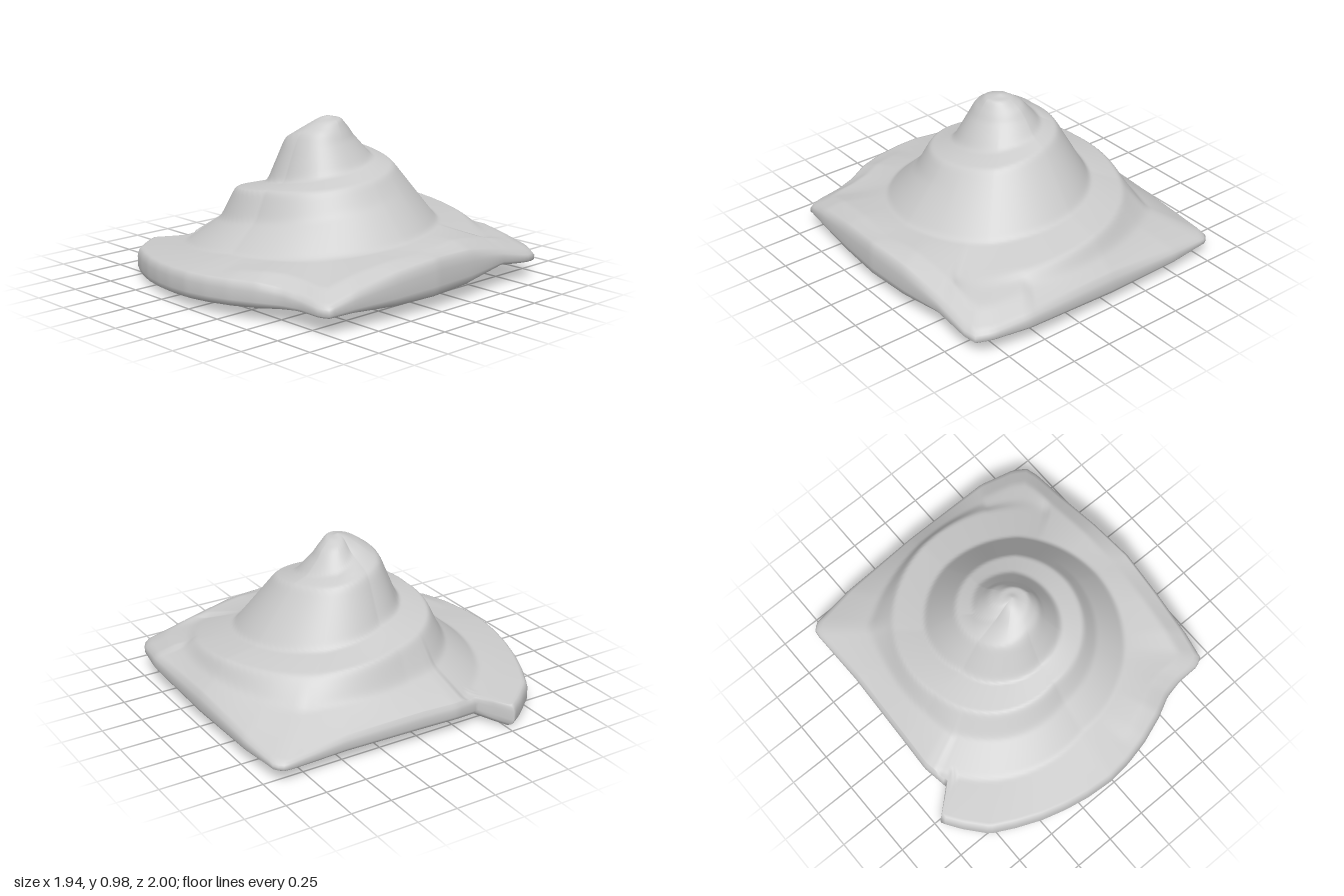
import * as THREE from 'three';

// Angles in degrees: 0 = -x, 90 = front, 180 = +x, 270 = back. The spiral climbs as the angle grows.
// Outline of the slab: x, z, top height, bottom height
const OUTLINE = [
  [-0.835, 0, 0.18, 0.08], [-0.845, 0.22, 0.175, 0.08], [-0.815, 0.39, 0.165, 0.06],
  [-0.975, 0.53, 0.145, 0.012], [-0.9, 0.64, 0.15, 0.005], [-0.79, 0.77, 0.16, 0.005],
  [-0.65, 0.845, 0.17, 0.015], [-0.5, 0.91, 0.18, 0.025], [-0.35, 0.955, 0.19, 0.035],
  [-0.2, 0.985, 0.2, 0.045], [-0.03, 1, 0.21, 0.055], [0.12, 0.985, 0.215, 0.062],
  [0.28, 0.95, 0.22, 0.07], [0.45, 0.89, 0.22, 0.08], [0.58, 0.825, 0.2, 0.09],
  [0.7, 0.8, 0.18, 0.1], [0.85, 0.795, 0.16, 0.1], [0.9, 0.77, 0.16, 0.1],
  [0.925, 0.6, 0.21, 0.1], [0.95, 0.3, 0.265, 0.08], [0.97, 0, 0.3, 0.08],
  [0.955, -0.3, 0.28, 0.09], [0.935, -0.6, 0.22, 0.14], [0.93, -0.83, 0.165, 0.11],
  [0.91, -0.91, 0.16, 0.1], [0.83, -0.955, 0.17, 0.11], [0.6, -1, 0.2, 0.11],
  [0, -0.995, 0.2, 0.08], [-0.5, -0.98, 0.16, 0.08], [-0.78, -0.945, 0.125, 0.08],
  [-0.82, -0.9, 0.125, 0.08], [-0.815, -0.5, 0.165, 0.08],
];

// Outer edge of the spiral ledge: angle, radius, height
const CREST = [
  [215, 0.95, 0.28], [243, 0.9, 0.34], [270, 0.83, 0.39], [315, 0.7, 0.42], [360, 0.57, 0.485],
  [405, 0.5, 0.54], [450, 0.425, 0.59], [495, 0.44, 0.62], [540, 0.45, 0.66], [585, 0.44, 0.7],
  [630, 0.37, 0.755], [675, 0.31, 0.78], [720, 0.235, 0.81], [765, 0.2, 0.85], [810, 0.17, 0.89],
  [855, 0.17, 0.9], [900, 0.18, 0.89], [945, 0.17, 0.9], [990, 0.16, 0.92], [1035, 0.11, 0.94],
  [1080, 0.06, 0.95],
];

// Inner fold where the ledge meets the next wall: angle, radius, height
const CREASE = [
  [20, 0.85, 0.17], [45, 0.8, 0.2], [90, 0.68, 0.265], [135, 0.7, 0.29], [180, 0.71, 0.34],
  [225, 0.7, 0.37], [270, 0.61, 0.43], [315, 0.5, 0.47], [360, 0.36, 0.545], [405, 0.31, 0.58],
  [450, 0.28, 0.62], [495, 0.3, 0.66], [540, 0.3, 0.7], [585, 0.31, 0.74], [630, 0.27, 0.79],
  [675, 0.2, 0.82], [720, 0.1, 0.9], [765, 0.1, 0.93], [810, 0.1, 0.945], [855, 0.1, 0.96],
  [900, 0.12, 0.965], [945, 0.1, 0.97], [990, 0.08, 0.97], [1035, 0.06, 0.97], [1080, 0.045, 0.97],
];

function lookup(table, a) {
  for (let i = 0; i < table.length - 1; i++) {
    const [a0, r0, h0] = table[i], [a1, r1, h1] = table[i + 1];
    if (a >= a0 && a <= a1) {
      const t = (a - a0) / (a1 - a0);
      return [r0 + (r1 - r0) * t, h0 + (h1 - h0) * t];
    }
  }
  return null;
}

// Where a ray from the centre crosses the outline: radius, top, bottom
function edgeAt(a) {
  const dx = -Math.cos(a), dz = Math.sin(a);
  const side = (p) => dx * p[1] - dz * p[0];
  for (let i = 0; i < OUTLINE.length; i++) {
    const p = OUTLINE[i], q = OUTLINE[(i + 1) % OUTLINE.length];
    const sp = side(p), sq = side(q);
    if (sp * sq > 0 || sp === sq) continue;
    const t = sp / (sp - sq);
    const v = p.map((c, k) => c + (q[k] - c) * t);
    const r = v[0] * dx + v[1] * dz;
    if (r > 0) return [r, v[2], v[3]];
  }
  return null;
}

// Radial profile at one angle, from the rim in to the peak
function profileAt(deg, edge) {
  const pts = [[edge[0], edge[1]]];
  const add = (p) => {
    if (p && p[0] < pts[pts.length - 1][0] - 0.004) pts.push(p);
  };
  // The ledge keeps its height before dropping to the two right corners
  if (deg > 100 && deg < 240) {
    const bump = 0.035 * Math.abs(Math.sin((Math.PI * (deg - 180)) / (deg > 180 ? 60 : 80)));
    const [r0, h0] = lookup(CREST, deg) ?? lookup(CREASE, deg);
    const t = (edge[0] * 0.88 - r0) / (edge[0] - r0);
    add([edge[0] * 0.88, h0 + (edge[1] - h0) * t + bump]);
  }
  // The lowest wall is hollow, flaring out at its foot
  const addFoot = (crest, w) => {
    const [r0, h0] = pts[pts.length - 1];
    const sag = 0.08 * Math.sin((Math.PI * (w + 145)) / 345);
    add([crest[0] + (r0 - crest[0]) * 0.3, crest[1] + (h0 - crest[1]) * 0.3 - sag]);
  };
  if (deg >= 215) addFoot(lookup(CREST, deg), deg - 360);
  for (let a = deg; a <= 1080; a += 360) {
    add(lookup(CREST, a));
    add(lookup(CREASE, a));
    if (a < 200) addFoot(lookup(CREST, a + 360), a);
  }
  add([0.04, 0.975]);
  pts.push([0, 0.987]);
  return pts;
}

function heightAt(pts, r) {
  if (r >= pts[0][0]) return pts[0][1];
  for (let i = 0; i < pts.length - 1; i++) {
    const [r0, h0] = pts[i], [r1, h1] = pts[i + 1];
    if (r <= r0 && r >= r1) return h0 + ((h1 - h0) * (r0 - r)) / (r0 - r1);
  }
  return pts[pts.length - 1][1];
}

export function createModel() {
  const COLS = 240, INNER = 75, OUTER = 20, FIXED = 0.76;
  const pos = [], index = [];
  let rings = 0;
  for (let i = 0; i < COLS; i++) {
    const deg = (i * 360) / COLS, a = (deg * Math.PI) / 180;
    const edge = edgeAt(a), [R, top, bottom] = edge;
    const pts = profileAt(deg, edge);
    const section = [];
    // Spiral top, with folds slightly softened
    for (let j = 0; j <= INNER + OUTER; j++) {
      const r = j <= INNER ? (FIXED * j) / INNER : FIXED + ((R * 0.98 - FIXED) * (j - INNER)) / OUTER;
      const soft = [-0.015, 0, 0.015].map((d) => heightAt(pts, Math.abs(r + d)));
      section.push([r, (soft[0] + 2 * soft[1] + soft[2]) / 4]);
    }
    // Rounded rim and underside
    const thick = top - bottom;
    section.push([R * 0.993, top - thick * 0.1], [R, top - thick * 0.3], [R, bottom + thick * 0.3],
      [R * 0.99, bottom + thick * 0.1], [R * 0.965, bottom], [R * 0.87, bottom * 0.9 + 0.008],
      [R * 0.78, 0.08], [R * 0.7, 0.08], [0, 0.08]);
    rings = section.length;
    // The peak leans a little to one side
    for (const [r, y] of section) {
      const lean = y > 0.5 ? Math.max(0, 1 - r / 0.2) : 0;
      pos.push(-Math.cos(a) * r + 0.05 * lean, y, Math.sin(a) * r - 0.03 * lean);
    }
  }
  // Skin between neighbouring sections, closed at the peak and under the middle
  for (let i = 0; i < COLS; i++) {
    const m = i * rings, n = ((i + 1) % COLS) * rings;
    for (let j = 0; j < rings - 1; j++) {
      if (j < rings - 2) index.push(m + j, m + j + 1, n + j + 1);
      else index.push(m + j, m + j + 1, n + j);
      if (j > 0 && j < rings - 2) index.push(m + j, n + j + 1, n + j);
    }
  }
  const geometry = new THREE.BufferGeometry();
  geometry.setAttribute('position', new THREE.Float32BufferAttribute(pos, 3));
  geometry.setIndex(index);
  geometry.computeVertexNormals();

  const mound = new THREE.Mesh(geometry, new THREE.MeshStandardMaterial({ color: 0xcccccc }));
  mound.name = 'spiralMound';
  const group = new THREE.Group();
  group.name = 'swirledMound';
  group.add(mound);
  return group;
}
